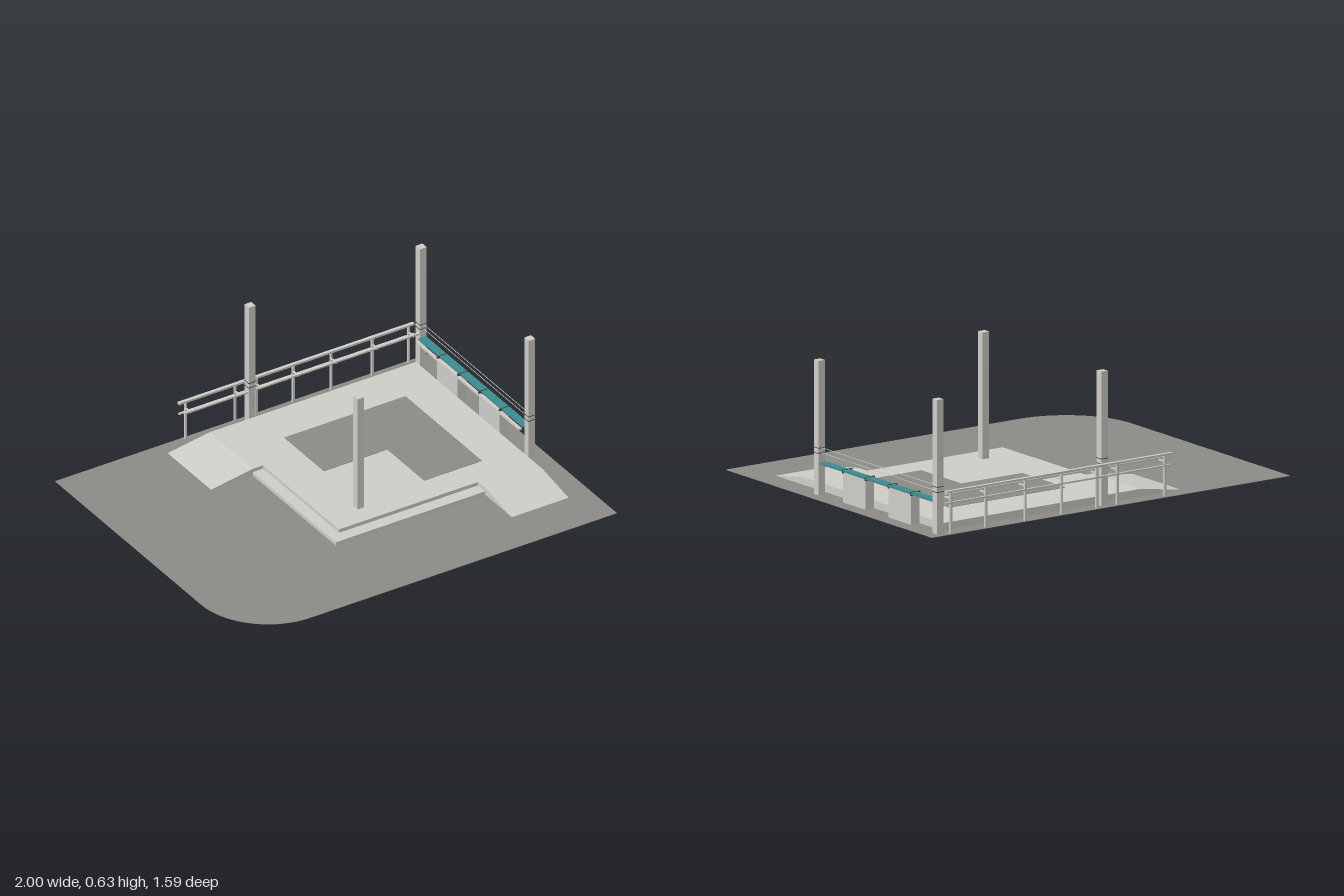
import * as THREE from 'three';

export function createModel() {
  const root = new THREE.Group();
  const mat = (name, color) => {
    const m = new THREE.MeshStandardMaterial({ color });
    m.name = name;
    return m;
  };
  const concrete = mat('light concrete', 0xcfcdc8);
  const asphalt = mat('grey paving', 0x8c8b88);
  const teal = mat('teal panel', 0x3d8c90);
  const dark = mat('dark metal', 0x4a4c4c);
  asphalt.side = THREE.DoubleSide;

  const add = (name, geo, material, x = 0, y = 0, z = 0, parent = root) => {
    const m = new THREE.Mesh(geo, material);
    m.name = name;
    m.position.set(x, y, z);
    parent.add(m);
    return m;
  };
  // box given by its lower and upper corners
  const box = (name, x0, x1, y0, y1, z0, z1, material, parent) =>
    add(name, new THREE.BoxGeometry(x1 - x0, y1 - y0, z1 - z0), material,
      (x0 + x1) / 2, (y0 + y1) / 2, (z0 + z1) / 2, parent);
  // flat slab from a plan outline of [x, z] points
  const slab = (name, shape, y0, y1, material) => {
    const geo = new THREE.ExtrudeGeometry(shape, { depth: y1 - y0, bevelEnabled: false, curveSegments: 16 });
    geo.rotateX(-Math.PI / 2);
    return add(name, geo, material, 0, y0, 0);
  };
  const plan = (pts) => new THREE.Shape(pts.map(([x, z]) => new THREE.Vector2(x, -z)));

  // paving with one rounded corner
  const lot = new THREE.Shape();
  lot.moveTo(-1, 0.795);
  lot.lineTo(-1, -0.435);
  lot.absarc(-0.64, -0.435, 0.36, Math.PI, Math.PI * 1.5, false);
  lot.lineTo(1, -0.795);
  lot.lineTo(1, 0.795);
  slab('paving', lot, 0, 0.002, asphalt);

  // stepped platform
  const H = 0.038;
  slab('lowerStep', plan([[-0.22, -0.36], [-0.22, 0.345], [0.58, 0.345], [0.58, -0.36]]), 0.001, 0.02, concrete);
  slab('platform', plan([[-0.22, -0.72], [-0.22, -0.355], [-0.165, -0.355], [-0.165, 0.285],
    [0.58, 0.285], [0.58, 0.35], [0.885, 0.35], [0.885, -0.72]]), 0.001, H, concrete);
  slab('floorPatch', plan([[0.04, -0.5], [0.04, -0.165], [0.38, -0.165], [0.38, 0.145],
    [0.69, 0.145], [0.69, -0.5]]), H, H + 0.0015, asphalt);

  // wedge ramps: profile runs outward along x, extruded sideways
  const wedge = (name, run, width) => {
    const s = new THREE.Shape([new THREE.Vector2(0, 0), new THREE.Vector2(run, 0), new THREE.Vector2(0, H - 0.001)]);
    const geo = new THREE.ExtrudeGeometry(s, { depth: width, bevelEnabled: false });
    geo.translate(0, 0, -width / 2);
    return add(name, geo, concrete);
  };
  const sideRamp = wedge('sideRamp', 0.23, 0.365);
  sideRamp.position.set(-0.22, 0.001, -0.5375);
  sideRamp.rotation.y = Math.PI;
  const frontRamp = wedge('frontRamp', 0.225, 0.305);
  frontRamp.position.set(0.7325, 0.001, 0.35);
  frontRamp.rotation.y = -Math.PI / 2;

  // four tall posts, three of them with clamps
  for (const x of [0.013, 0.93]) {
    for (const z of [0.17, -0.745]) {
      box('post', x - 0.018, x + 0.018, 0, 0.628, z - 0.018, z + 0.018, concrete);
      if (x < 0.5 && z > 0) continue;
      for (const y of [0.198, 0.222])
        box('postClamp', x - 0.02, x + 0.02, y - 0.0015, y + 0.0015, z - 0.02, z + 0.02, dark);
    }
  }

  // fine wires above the side bench
  for (const y of [0.198, 0.222])
    box('wire', 0.929, 0.931, y - 0.001, y + 0.001, -0.73, 0.155, concrete);

  // back railing
  const railing = new THREE.Group();
  railing.name = 'backRailing';
  root.add(railing);
  box('topRail', -0.345, 0.915, 0.194, 0.204, -0.794, -0.777, concrete, railing);
  box('innerRail', -0.345, 0.915, 0.168, 0.176, -0.741, -0.731, concrete, railing);
  box('lowerRail', -0.345, 0.915, 0.141, 0.149, -0.787, -0.777, concrete, railing);
  for (const x of [-0.31, -0.045, 0.07, 0.267, 0.47, 0.69, 0.885]) {
    box('railPost', x - 0.005, x + 0.005, 0, 0.196, -0.787, -0.775, concrete, railing);
    box('railArm', x - 0.004, x + 0.004, 0.162, 0.169, -0.78, -0.735, concrete, railing);
  }

  // side bench with brackets and two supports
  const bench = new THREE.Group();
  bench.name = 'sideBench';
  root.add(bench);
  box('benchTop', 0.904, 0.942, 0.146, 0.155, -0.725, 0.152, teal, bench);
  box('benchBackRail', 0.886, 0.9, 0.136, 0.146, -0.72, 0.15, concrete, bench);
  for (const z of [-0.55, -0.375, -0.2, -0.025])
    box('bracket', 0.889, 0.943, 0.139, 0.1565, z - 0.003, z + 0.003, dark, bench);
  for (const z of [-0.458, -0.105])
    box('benchSupport', 0.888, 0.935, 0, 0.142, z - 0.087, z + 0.087, concrete, bench);

  return root;
}
